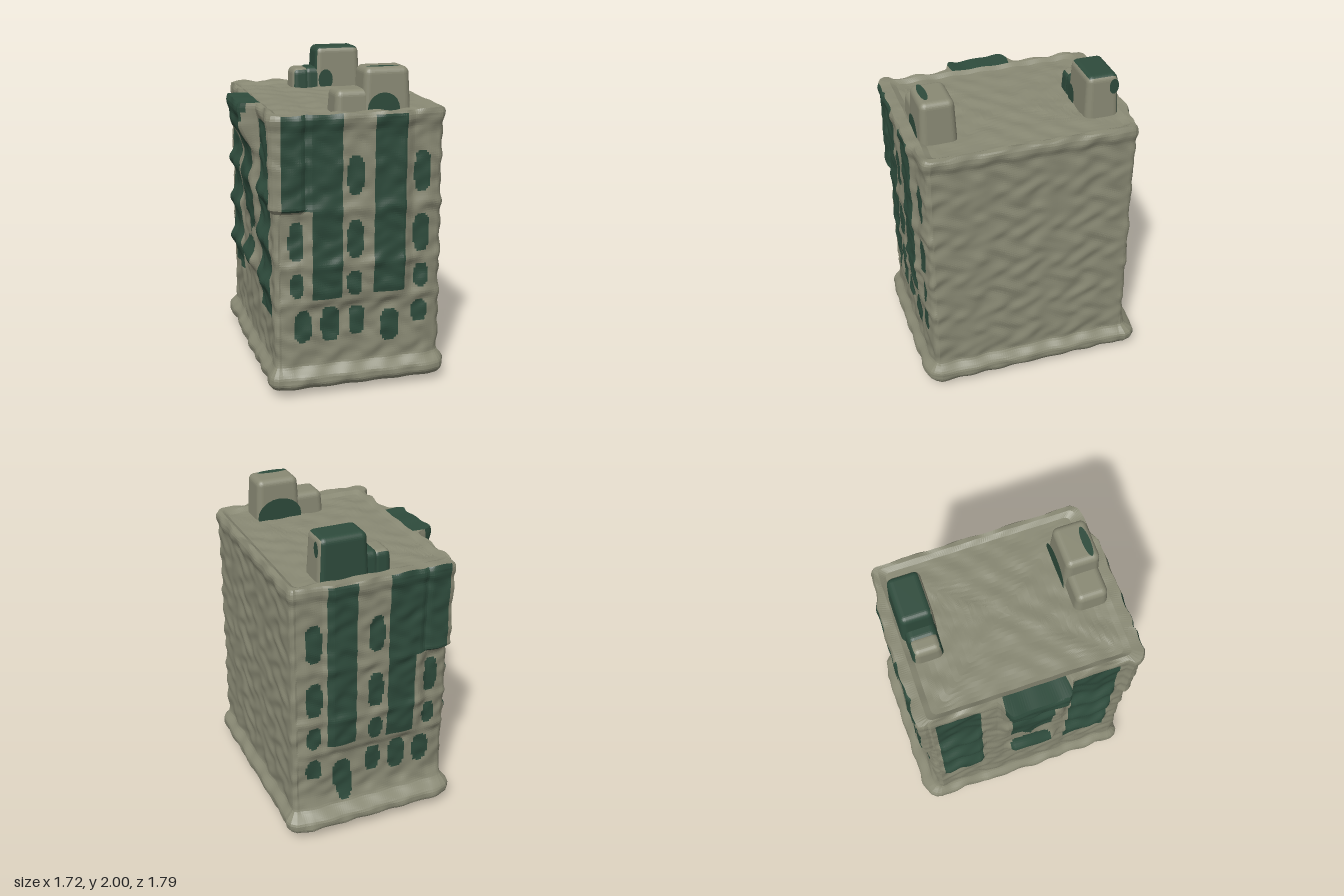
import * as THREE from 'three';
import { RoundedBoxGeometry } from 'three/addons/geometries/RoundedBoxGeometry.js';

const W = 0.525, D = 0.66, R = 0.035, TOP = 1.75; // half width, half depth, corner radius, roof edge

// Painted areas as [s0, s1, y0, y1]; s runs to the right along a wall seen from outside
const endPanels = [
  [-0.56, -0.065, 1.18, 1.745], [-0.25, -0.065, 0.62, 1.3], [0.14, 0.33, 0.63, 1.73],
];
const endWindows = [
  [-0.42, -0.325, 0.87, 1.11], [-0.41, -0.325, 0.64, 0.79],
  [-0.035, 0.065, 1.26, 1.5], [-0.035, 0.065, 0.87, 1.11], [-0.035, 0.06, 0.64, 0.79],
  [0.36, 0.465, 1.25, 1.5], [0.36, 0.465, 0.87, 1.11], [0.37, 0.46, 0.64, 0.79], [0.37, 0.47, 0.41, 0.55],
  [-0.38, -0.27, 0.35, 0.55], [-0.21, -0.095, 0.34, 0.57], [-0.035, 0.065, 0.37, 0.56], [0.17, 0.29, 0.3, 0.51],
];
const sideStrips = [[-0.6, -0.32, 0.5, 1.66], [0.26, 0.55, 0.47, 1.66]];

const inRect = ([a, b, c, d], s, y) => s > a && s < b && y > c && y < d;
const inOval = ([a, b, c, d], s, y) =>
  Math.abs((2 * s - a - b) / (b - a)) ** 3 + Math.abs((2 * y - c - d) / (d - c)) ** 3 < 1;
const bump = (v, centre, width) => Math.exp(-(((v - centre) / width) ** 2));
const step = THREE.MathUtils.smoothstep;
const plateau = (v, a, b, soft) => step(v, a - soft, a + soft) * (1 - step(v, b - soft, b + soft));

// Walls: 0 front end, 1 blank side, 2 back end (mirror of the front), 3 balcony side.
// On the front the upper middle columns sit a little further left.
const endCoordinate = (face, s, y) =>
  face === 2 ? 0.025 - s : s + (y > 0.6 ? 0.025 + 0.03 * plateau(s, -0.34, 0.3, 0.03) : 0.037);

function isGreen(face, s, y) {
  if (face === 1) return false;
  if (face === 3) {
    const half = Math.min(0.14, 0.01 + 1.4 * Math.max(0, y - 0.9)) + 0.06 * step(y, 1.5, 1.7);
    const bay = y > 0.88 && y < 1.76 && Math.abs(s - 0.01) < half;
    return bay || inOval([-0.13, 0.14, 0.67, 0.84], s, y) || sideStrips.some(r => inRect(r, s, y));
  }
  const m = endCoordinate(face, s, y);
  if (face === 2 && (s > 0.492 || inOval([0.16, 0.26, 0.2, 0.45], m, y))) return s < 0.492;
  return endPanels.some(r => inRect(r, m, y)) || endWindows.some(r => inOval(r, m, y));
}

// Outward relief of each wall
function relief(face, s, y) {
  if (face === 1) return 0;
  const upper = plateau(y, 1.18, 1.8, 0.02);
  if (face === 3) {
    const balconies = bump(y, 1.24, 0.06) + bump(y, 0.96, 0.07) + bump(y, 0.68, 0.07);
    let o = 0.03 * upper * step(s, 0.59, 0.63);
    for (const [a, b] of sideStrips) o += plateau(s, a, b, 0.03) * (0.045 * balconies - 0.006);
    o += plateau(s, -0.19, 0.22, 0.03) * (0.085 * step(y, 1.4, 1.62) + 0.02 * step(y, 0.9, 1.1) + 0.03 * bump(y, 1.25, 0.07));
    o += plateau(s, -0.14, 0.18, 0.04) * 0.055 * bump(y, 0.72, 0.07);
    return o;
  }
  const e = face === 2 ? -s : s; // end walls bow outwards around the middle columns
  const ledges = 0.01 * (bump(y, 1.18, 0.04) + bump(y, 0.83, 0.035) + bump(y, 0.6, 0.035));
  const bow = plateau(e, -0.34, 0.3, 0.04) * step(y, 0.56, 0.68);
  const corner = (1 - step(e, -0.38, -0.3)) * upper * (face === 2 ? step(e, -0.525, -0.5) : 1);
  return ledges + 0.007 + 0.03 * Math.max(bow, corner) - 0.015 * step(Math.abs(s), 0.42, 0.52) * (1 - corner);
}

// Smooth lumps that roughen the surface
const lumps = (x, y, z) => 0.005 * (
  Math.sin(29 * x + 1.5 * Math.sin(17 * y)) * Math.sin(27 * y + 1.5 * Math.sin(19 * z)) +
  Math.sin(31 * z + 1.5 * Math.sin(21 * y + 1)) * Math.sin(23 * y + 1.5 * Math.sin(25 * x)));

// Rounded rectangle as points with normals, wall number and distance along the wall
function outline() {
  const pts = [], half = [W, D, W, D], out = [D, W, D, W], N = [74, 86, 74, 86], C = 4;
  for (let f = 0; f < 4; f++) {
    const a = f * Math.PI / 2, c = Math.cos(a), n = Math.sin(a), h = half[f], d = out[f];
    const add = (s, o, ns, no) => pts.push({
      x: s * c + o * n, z: -s * n + o * c, nx: ns * c + no * n, nz: -ns * n + no * c, face: f, s });
    for (let i = 0; i <= N[f]; i++) add((h - R) * (2 * i / N[f] - 1), d, 0, 1);
    for (let i = 1; i < C; i++) {
      const t = i / C * Math.PI / 2;
      add(h - R + R * Math.sin(t), d - R + R * Math.cos(t), Math.sin(t), Math.cos(t));
    }
  }
  return pts;
}

// Tower body: rings from the underside, up the walls and across the roof
function bodyGeometry() {
  const ring = outline(), n = ring.length, rows = [];
  for (const k of [0.01, 0.3, 0.6, 0.8, 0.93]) rows.push({ y: 0.05 * k ** 2, k, wall: 0 });
  for (let i = 0; i <= 122; i++) rows.push({ y: 0.052 + (TOP - 0.052) * i / 122, k: 1, wall: 1 });
  for (let i = 0; i < 18; i++) rows.push({ y: i ? 1.73 : 1.748, k: 0.955 * (1 - i / 17.05), wall: 0, roof: 1 });
  // The foot spreads furthest at the back end
  const flare = (y, nz) => 0.047 * step(y, 0.01, 0.095) * (1 - step(y, 0.12, 0.2)) +
    0.05 * Math.max(0, -nz) * step(y, 0.01, 0.08) * (1 - step(y, 0.09, 0.28)) +
    0.012 * step(y, 1.64, 1.7) - 0.012 * step(y, 1.72, 1.76);

  const pos = [], index = [[], []];
  rows.forEach(({ y, k, wall, roof }) => ring.forEach(p => {
    let x = p.x * k, z = p.z * k, h = y;
    if (wall) {
      const o = flare(y, p.nz) + relief(p.face, p.s, y) + lumps(x, y, z);
      x += p.nx * o; z += p.nz * o;
      if (y === TOP) h += lumps(x, 0.1, z);
    } else if (roof) h += 0.8 * lumps(x, 0.3, z);
    pos.push(x, h, z);
  }));
  for (let j = 0; j < rows.length - 1; j++) for (let i = 0; i < n; i++) {
    const i2 = (i + 1) % n, a = j * n + i, b = j * n + i2, c = b + n, d = a + n;
    const { face, s } = ring[i];
    const painted = rows[j].wall && isGreen(face, s + 0.006, (rows[j].y + rows[j + 1].y) / 2);
    index[painted ? 1 : 0].push(a, b, c, a, c, d);
  }
  const g = new THREE.BufferGeometry();
  g.setAttribute('position', new THREE.Float32BufferAttribute(pos, 3));
  g.setIndex(index[0].concat(index[1]));
  g.addGroup(0, index[0].length, 0);
  g.addGroup(index[0].length, index[1].length, 1);
  g.computeVertexNormals();
  return g;
}

export function createModel() {
  const stone = new THREE.MeshStandardMaterial({ color: 0x898974, flatShading: true });
  stone.name = 'weathered stone';
  const green = new THREE.MeshStandardMaterial({ color: 0x2e4b3c, flatShading: true });
  green.name = 'dark green';

  const model = new THREE.Group();
  model.name = 'building';
  const tower = new THREE.Group();
  tower.name = 'tower';
  tower.rotation.y = 0.67;
  model.add(tower);
  const add = (name, geometry, material) => {
    const mesh = new THREE.Mesh(geometry, material);
    mesh.name = name;
    tower.add(mesh);
    return mesh;
  };
  add('towerBody', bodyGeometry(), [stone, green]).position.z = 0.024;

  // Roof blocks narrow a little towards the top
  const block = (name, x0, x1, z0, z1, top, mats) => {
    const h = top - 1.65, g = new RoundedBoxGeometry(x1 - x0, h, z1 - z0, 4, 0.04);
    const p = g.attributes.position;
    for (let i = 0; i < p.count; i++) {
      const k = 1.05 - 0.1 * step(p.getY(i), -h / 2 + 0.06, h / 2);
      p.setXYZ(i, p.getX(i) * k, p.getY(i), p.getZ(i) * k);
    }
    g.computeVertexNormals();
    add(name, g, mats).position.set((x0 + x1) / 2, 1.65 + h / 2, (z0 + z1) / 2);
  };
  const S = stone, G = green; // face order: +x, -x, +y, -y, +z, -z
  block('backRoofBlock', 0.01, 0.325, -0.59, -0.38, 2, [S, G, G, S, S, G]);
  block('backRoofStep', -0.065, 0.08, -0.575, -0.385, 1.865, [S, S, G, S, G, G]);
  block('backRoofStepEnd', -0.145, -0.02, -0.573, -0.387, 1.86, [S, S, S, S, G, G]);
  block('frontRoofBlock', 0.03, 0.32, 0.425, 0.645, 1.995, S);
  block('frontRoofStep', -0.14, 0.08, 0.435, 0.64, 1.87, S);

  // Green patches on the roof blocks: [x, y, z, width, height, turn x, turn y]
  const patches = [
    [0.15, 1.75, 0.653, 0.1, 0.1, 0, 0],
    [0.175, 1.75, 0.417, 0.15, 0.12, 0, Math.PI],
    [0.16, 1.997, 0.59, 0.1, 0.025, -Math.PI / 2, 0],
    [0.329, 1.93, -0.55, 0.03, 0.05, 0, Math.PI / 2],
    [0.08, 1.78, -0.372, 0.05, 0.07, 0, 0],
  ];
  for (const [x, y, z, w, h, rx, ry] of patches) {
    const patch = add('roofBlockPatch', new THREE.CircleGeometry(1, 20), green);
    patch.scale.set(w, h, 1);
    patch.position.set(x, y, z);
    patch.rotation.set(rx, ry, 0);
  }
  return model;
}
